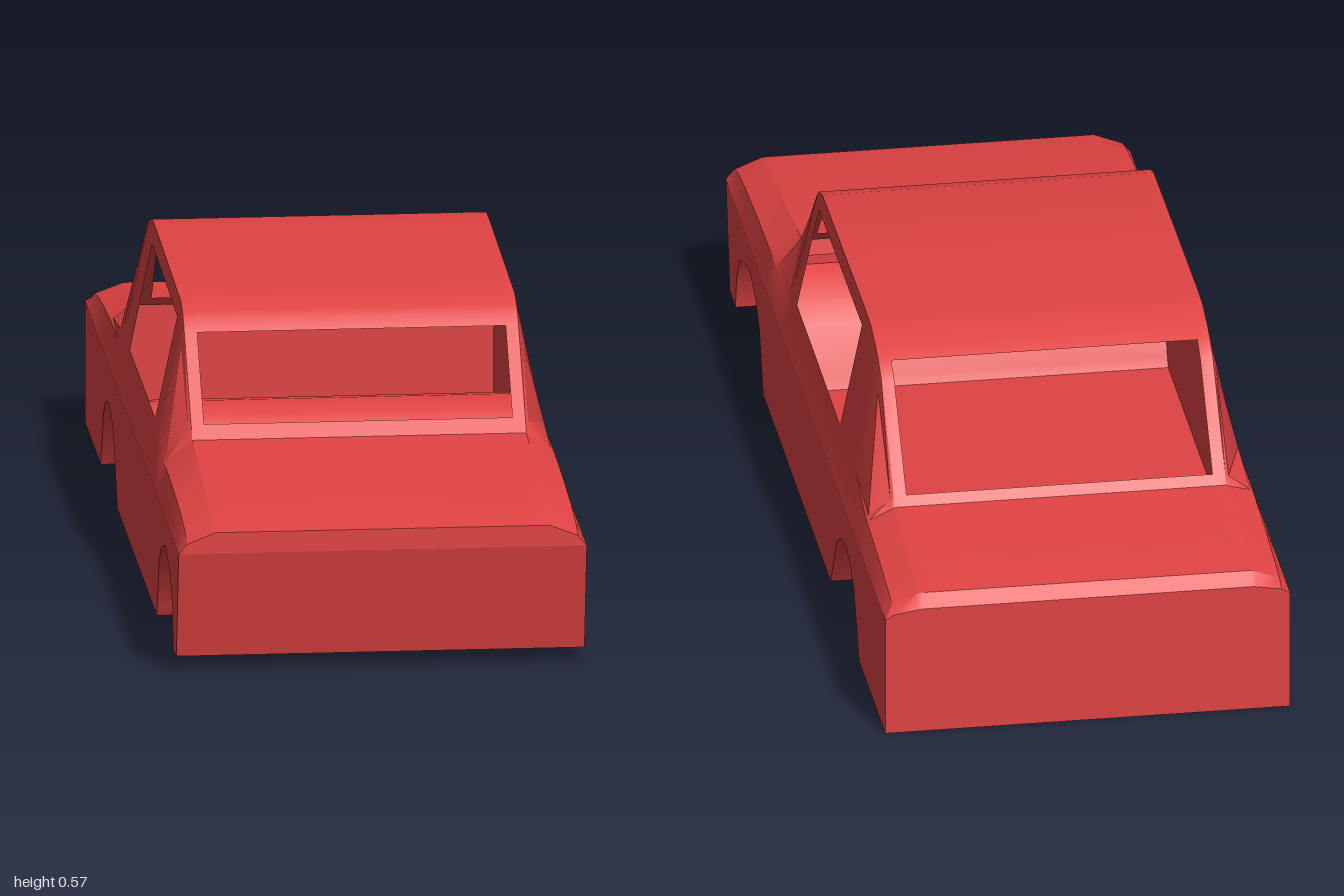
import * as THREE from 'three';
import { toCreasedNormals } from 'three/addons/utils/BufferGeometryUtils.js';

const HALF = 0.397, BELT = 0.243;

// Stations along the body, front to back: [z, top height, shoulder height]
const stations = [
  [1, 0.285, 0.263], [0.95, 0.295, 0.277], [0.85, 0.307, 0.288], [0.7, 0.323, 0.296], [0.55, 0.338, 0.3],
  [0.5, 0.343, 0.3], [0.475, 0.368, 0.3], [0.33, 0.515, 0.3], [0.31, 0.534, 0.3], [0.29, 0.547, 0.3],
  [0.25, 0.559, 0.3], [0, 0.564, 0.3], [-0.29, 0.569, 0.297], [-0.36, 0.567, 0.296], [-0.42, 0.551, 0.295],
  [-0.455, 0.536, 0.295], [-0.49, 0.514, 0.295], [-0.645, 0.337, 0.294], [-0.66, 0.319, 0.293],
  [-0.8, 0.305, 0.285], [-0.92, 0.292, 0.272], [-0.975, 0.285, 0.265], [-1, 0.262, 0.253],
];

// Lower outline with both wheel arches, nose to tail: [z, y]
const outline = [
  [1, BELT], [0.95, 0.027], [0.88, 0.024], [0.862, 0.1], [0.82, 0.155], [0.71, 0.189], [0.625, 0.16],
  [0.58, 0.12], [0.54, 0.02], [0.53, 0.002], [-0.315, 0.002], [-0.39, 0.12], [-0.44, 0.155], [-0.5, 0.167],
  [-0.56, 0.155], [-0.605, 0.12], [-0.67, 0], [-1, 0], [-1, BELT],
];

// Cross-section over the top from +x to -x
function section([z, top, shoulder]) {
  const side = (t) => [0.38 - 0.055 * t, shoulder + (top - shoulder) * t, z];
  const half = [[HALF, BELT, z], side(0), side(0.1), side(0.88), side(1), [0.3, top, z]];
  return [...half, ...half.map(([x, y]) => [-x, y, z]).reverse()];
}

// Skin over rows of points, leaving out the cells that isHole picks
function skin(rows, isHole = () => false, crease = 0.45) {
  const n = rows[0].length, index = [];
  for (let i = 0; i < rows.length - 1; i++) {
    for (let j = 0; j < n - 1; j++) {
      if (isHole(i, j)) continue;
      const a = i * n + j, b = a + n;
      index.push(a, b, a + 1, b, b + 1, a + 1);
    }
  }
  const geo = new THREE.BufferGeometry();
  geo.setAttribute('position', new THREE.Float32BufferAttribute(rows.flat(2), 3));
  geo.setIndex(index);
  return toCreasedNormals(geo, crease);
}

// Window openings by station range and section columns
function isWindow(i, j) {
  const front = stations[i][0], back = stations[i + 1][0];
  const within = (z0, z1) => front <= z0 && back >= z1;
  if (j === 5) return within(0.475, 0.33) || within(-0.455, -0.645);
  if (j === 2 || j === 8) return within(0.25, -0.29);
  return false;
}

export function createModel() {
  const car = new THREE.Group();
  car.name = 'carBody';
  const paint = new THREE.MeshStandardMaterial({ color: 0xe04343, side: THREE.DoubleSide });
  const add = (name, geo) => {
    const mesh = new THREE.Mesh(geo, paint);
    mesh.name = name;
    car.add(mesh);
    return mesh;
  };

  // Hood, cabin and trunk as one thin skin with open windows
  add('upperBody', skin(stations.map(section), isWindow));

  // Nose, wheel wells, floor and tail across the full width
  add('underbody', skin(outline.map(([z, y]) => [[-HALF, y, z], [HALF, y, z]]), undefined, 0.6));

  // Flat side panels with arch cut-outs
  const panel = new THREE.Shape(outline.map(([z, y]) => new THREE.Vector2(-z, y)));
  for (const s of [1, -1]) {
    const geo = new THREE.ShapeGeometry(panel).rotateY(Math.PI / 2).translate(s * HALF, 0, 0);
    add(s > 0 ? 'leftSidePanel' : 'rightSidePanel', geo);
  }

  // End panels closing the skin above the belt line
  for (const [name, st] of [['nosePanel', stations[0]], ['tailPanel', stations[stations.length - 1]]]) {
    const shape = new THREE.Shape(section(st).map(([x, y]) => new THREE.Vector2(x, y)));
    add(name, new THREE.ShapeGeometry(shape).translate(0, 0, st[0]));
  }
  return car;
}
